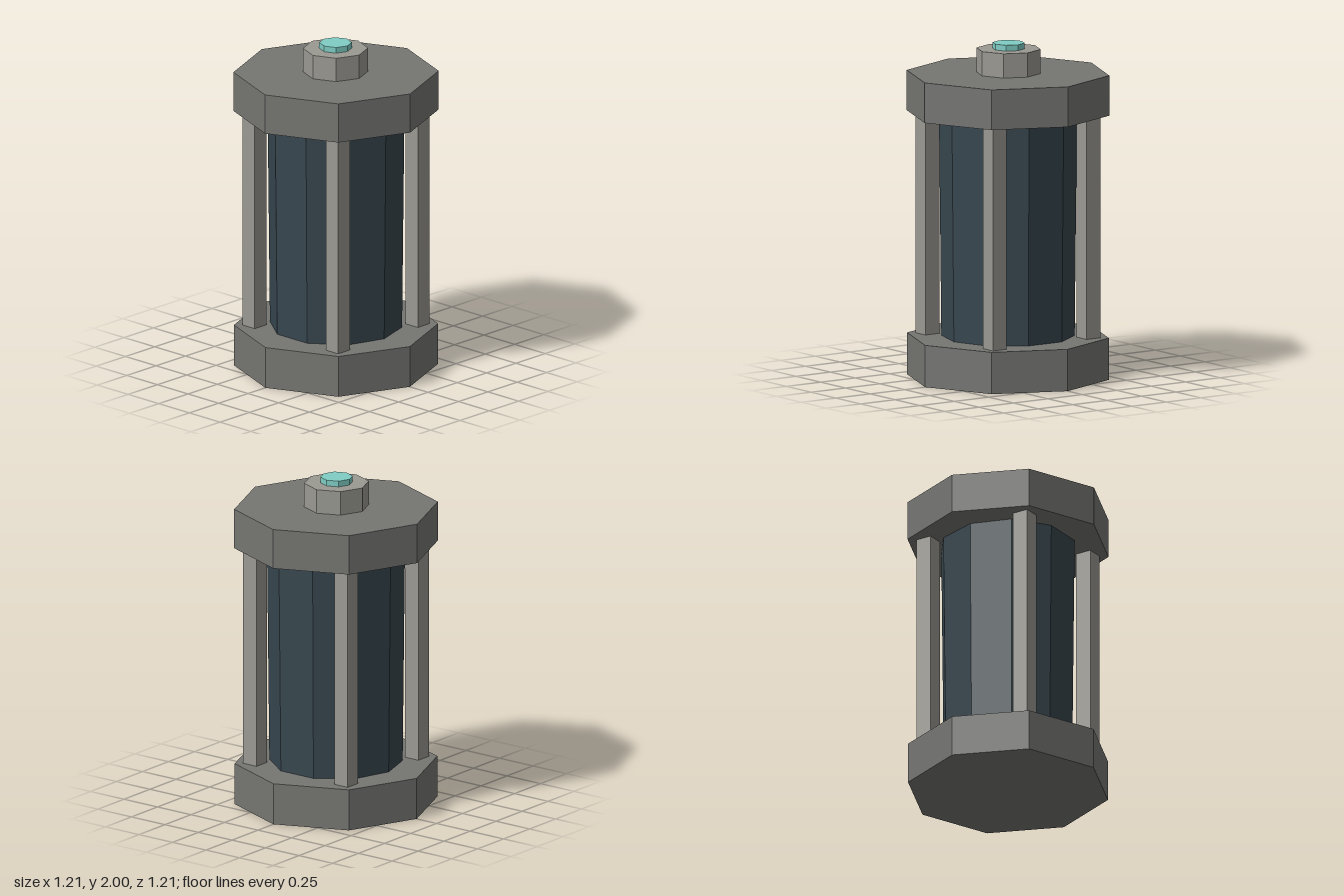
import * as THREE from 'three';

const material = (name, color) => {
  const m = new THREE.MeshStandardMaterial({ color, flatShading: true });
  m.name = name;
  return m;
};

export function createModel() {
  const group = new THREE.Group();
  group.name = 'canister';

  const darkMetal = material('dark metal', 0x757572);
  const lightMetal = material('light metal', 0x9a9992);
  const darkGlass = material('dark glass', 0x37464e);
  const teal = material('teal', 0x7fcdc4);

  const add = (name, geometry, mat, x, y, z) => {
    const mesh = new THREE.Mesh(geometry, mat);
    mesh.name = name;
    mesh.position.set(x, y, z);
    group.add(mesh);
  };

  // Upright prism between two heights, with a corner facing the front
  const prism = (name, mat, rTop, rBottom, y0, y1, sides = 8, z = 0) =>
    add(name, new THREE.CylinderGeometry(rTop, rBottom, y1 - y0, sides), mat, 0, (y0 + y1) / 2, z);

  // Octagonal end caps
  prism('bottomCap', darkMetal, 0.602, 0.602, 0, 0.25);
  prism('topCap', darkMetal, 0.605, 0.605, 1.58, 1.82);

  // Ten-sided tank with a core inside
  prism('tank', darkGlass, 0.407, 0.393, 0.25, 1.585, 10);
  prism('core', teal, 0.18, 0.18, 0.25, 1.58);

  // Nut and button on top
  prism('nut', lightMetal, 0.192, 0.192, 1.82, 1.965, 8, -0.004);
  prism('button', teal, 0.096, 0.096, 1.965, 2, 8, -0.004);

  // Four square corner posts
  for (const x of [-0.34, 0.34]) {
    for (const z of [-0.34, 0.34]) {
      add('post', new THREE.BoxGeometry(0.1, 1.34, 0.1), lightMetal, x, 0.915, z);
    }
  }
  return group;
}
